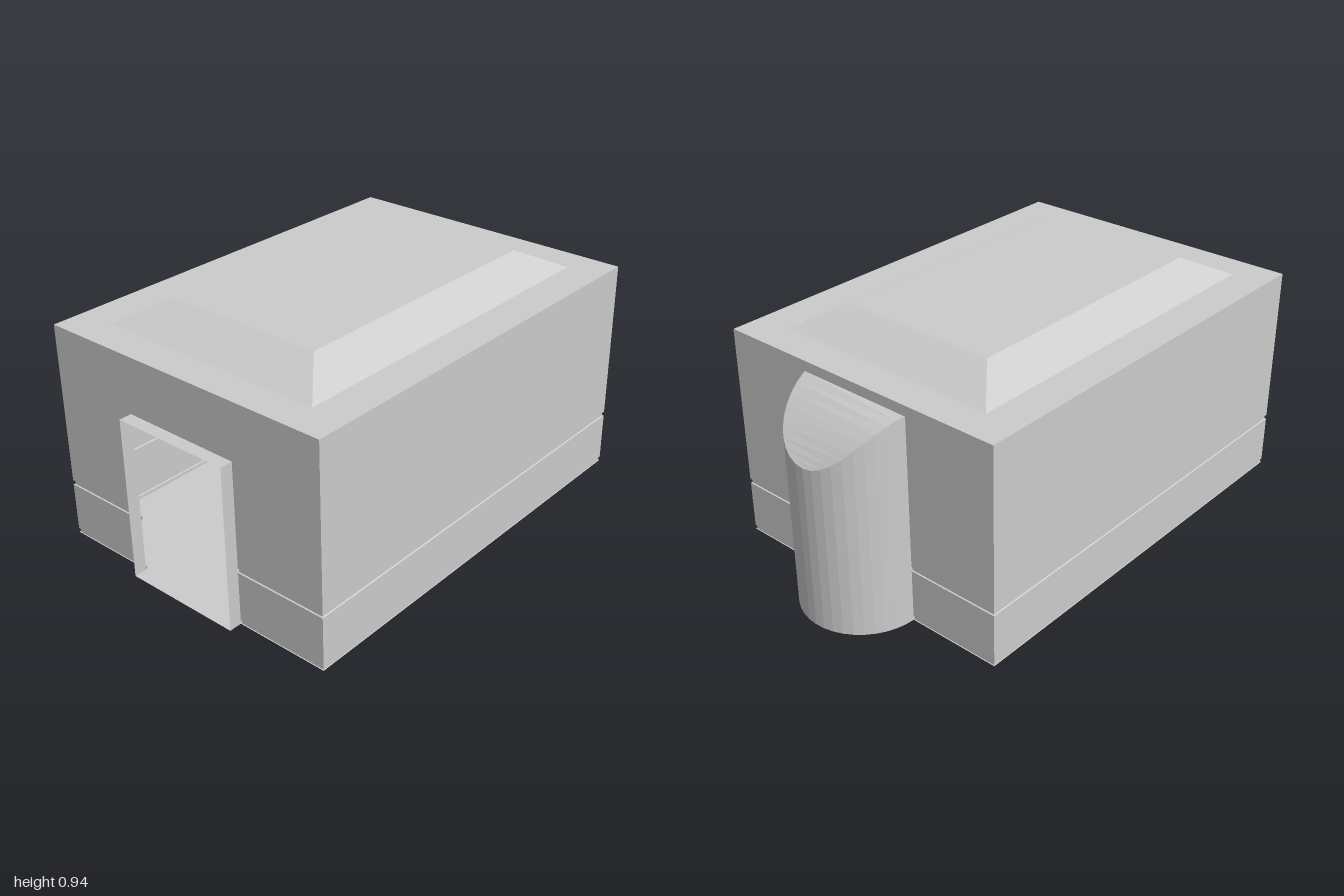
import * as THREE from 'three';

const W = 0.615, FRONT = 0.95, BACK = -0.76, TOP = 0.86;
const R = 0.24, DOOR_H = 0.64, APSE_H = 0.82, SEG = 20;

const material = new THREE.MeshStandardMaterial({
  color: 0xcccccc, flatShading: true, side: THREE.DoubleSide,
});

// Surface through rows of points, each row having the same count
function grid(rows) {
  const pos = [];
  for (let j = 0; j < rows.length - 1; j++) {
    for (let i = 0; i < rows[j].length - 1; i++) {
      const a = rows[j][i], b = rows[j][i + 1], c = rows[j + 1][i + 1], d = rows[j + 1][i];
      pos.push(...a, ...b, ...c, ...a, ...c, ...d);
    }
  }
  const g = new THREE.BufferGeometry();
  g.setAttribute('position', new THREE.Float32BufferAttribute(pos, 3));
  g.computeVertexNormals();
  return g;
}

// Rectangular ring at height y
const ring = (x, z0, z1, y) =>
  [[-x, y, z1], [x, y, z1], [x, y, z0], [-x, y, z0], [-x, y, z1]];

export function createModel() {
  const group = new THREE.Group();
  const add = (name, geometry) => {
    const mesh = new THREE.Mesh(geometry, material);
    mesh.name = name;
    group.add(mesh);
    return mesh;
  };

  // Thin walls: an inset plinth and groove profile swept from doorway to apse
  const profile = [[0.004, 0], [0.004, 0.014], [0, 0.016], [0, 0.21],
    [0.005, 0.212], [0.005, 0.226], [0, 0.228], [0, TOP]];
  for (const s of [1, -1]) {
    const rows = profile.map(([i, y]) => {
      const row = [[s * R, y, FRONT - i], [s * (W - i), y, FRONT - i],
        [s * (W - i), y, BACK + i], [s * R, y, BACK + i]];
      return s > 0 ? row : row.reverse();
    });
    add(s > 0 ? 'leftWall' : 'rightWall', grid(rows));
  }
  add('wallAboveDoor', grid([[[-R, DOOR_H, FRONT], [R, DOOR_H, FRONT]],
    [[-R, TOP, FRONT], [R, TOP, FRONT]]]));
  add('wallAboveApse', grid([[[R, APSE_H, BACK], [-R, APSE_H, BACK]],
    [[R, TOP, BACK], [-R, TOP, BACK]]]));

  // Roof: flat border, sloping sides and raised flat centre
  add('roof', grid([ring(W, BACK, FRONT, TOP), ring(0.47, -0.63, 0.82, TOP),
    ring(0.33, -0.465, 0.655, 0.945)]));
  add('roofCentre', grid([[[-0.33, 0.945, 0.655], [0.33, 0.945, 0.655]],
    [[-0.33, 0.945, -0.465], [0.33, 0.945, -0.465]]]));

  // Door surround: jambs and lintel standing out from the front
  const arch = [[R, 0], [R, DOOR_H], [-R, DOOR_H], [-R, 0]];
  add('doorSurround', grid([1, FRONT].map(z => arch.map(([x, y]) => [x, y, z]))));

  // Apse: half-round wall with a sloping top, fuller on the right side
  const rim = [];
  for (let k = 0; k <= SEG; k++) {
    const a = Math.PI * k / SEG, d = Math.sin(a), x = R * Math.cos(a);
    const line = APSE_H - (APSE_H - DOOR_H) * d;
    const bulge = (x < 0 ? 0.21 : 0.04) * d * (1 - d);
    rim.push([x, line + bulge, BACK - R * d]);
  }
  add('apseWall', grid([rim, rim.map(([x, , z]) => [x, 0, z])]));
  const half = SEG / 2;
  add('apseRoof', grid([rim.slice(0, half + 1), rim.slice(half).reverse()]));

  // Floor: one slab following the hall, the doorway and the apse
  const plan = new THREE.Shape();
  plan.moveTo(-W, -FRONT);
  [[-R, -FRONT], [-R, -1], [R, -1], [R, -FRONT], [W, -FRONT], [W, -BACK], [R, -BACK]]
    .forEach(([x, y]) => plan.lineTo(x, y));
  rim.slice(1).forEach(([x, , z]) => plan.lineTo(x, -z));
  plan.lineTo(-W, -BACK);
  plan.closePath();
  add('floor', new THREE.ShapeGeometry(plan).rotateX(-Math.PI / 2));

  return group;
}
